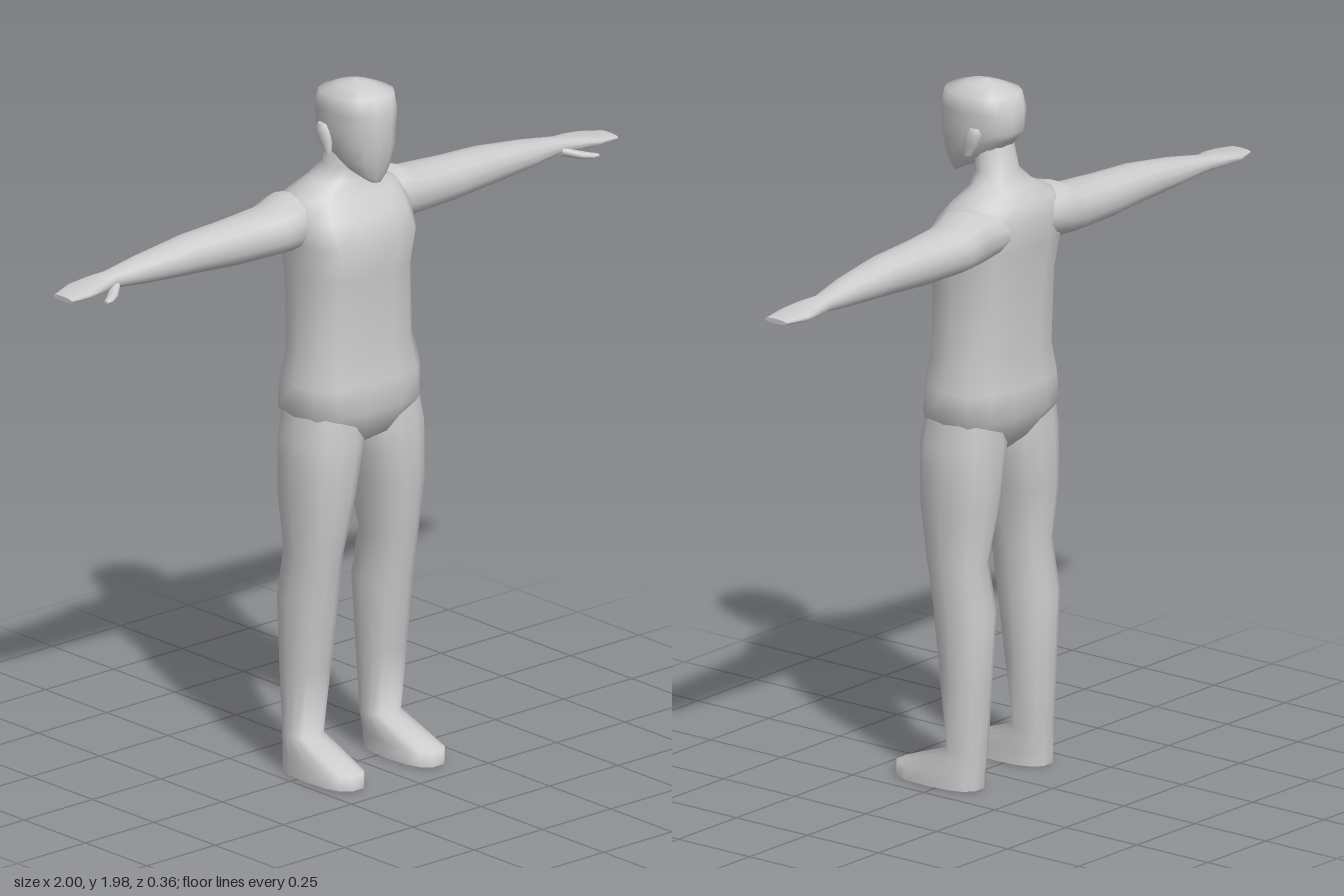
import * as THREE from 'three';

const SIDES = 14;
const skin = new THREE.MeshStandardMaterial({ color: 0xcccccc });
skin.name = 'plain grey';

// Unit superellipse point: n = 2 is round, larger n is boxier
function roundish(j, n) {
  const a = (j / SIDES) * Math.PI * 2;
  const bend = (v) => Math.sign(v) * Math.pow(Math.abs(v), 2 / n);
  return [bend(Math.cos(a)), bend(Math.sin(a))];
}

// Smooth skin through closed rings of points, with crisp flat end caps
function loft(name, rings) {
  const pos = [], index = [];
  rings.forEach((ring) => ring.forEach((p) => pos.push(...p)));
  for (let i = 0; i < rings.length - 1; i++) {
    for (let j = 0; j < SIDES; j++) {
      const k = (j + 1) % SIDES;
      const a = i * SIDES + j, b = i * SIDES + k, c = a + SIDES, d = b + SIDES;
      index.push(a, c, b, b, c, d);
    }
  }
  [rings[0], rings[rings.length - 1]].forEach((ring, end) => {
    const start = pos.length / 3;
    ring.forEach((p) => pos.push(...p));
    pos.push(...[0, 1, 2].map((c) => ring.reduce((sum, p) => sum + p[c], 0) / SIDES));
    for (let j = 0; j < SIDES; j++) {
      const a = start + j, b = start + ((j + 1) % SIDES), mid = start + SIDES;
      if (end) index.push(a, mid, b);
      else index.push(a, b, mid);
    }
  });
  const geometry = new THREE.BufferGeometry();
  geometry.setAttribute('position', new THREE.Float32BufferAttribute(pos, 3));
  geometry.setIndex(index);
  geometry.computeVertexNormals();
  const mesh = new THREE.Mesh(geometry, skin);
  mesh.name = name;
  return mesh;
}

// Level ring: front and back heights may differ, so the ring can tilt
function upright(yFront, yBack, cx, half, zFront, zBack, n) {
  return Array.from({ length: SIDES }, (_, j) => {
    const [u, v] = roundish(j, n);
    const t = (v + 1) / 2;
    return [cx + half * u, yBack + (yFront - yBack) * t, zBack + (zFront - zBack) * t];
  });
}

// Ring across an arm reaching out along x on the given side
function sideways(side, x, top, bottom, zFront, zBack, n) {
  return Array.from({ length: SIDES }, (_, j) => {
    const [u, v] = roundish(j, n);
    return [side * x, (top + bottom) / 2 + ((top - bottom) / 2) * u,
      (zFront + zBack) / 2 - side * ((zFront - zBack) / 2) * v];
  });
}

// y, half width, front z, back z, boxiness
const TORSO = [
  [0.93, 0.03, 0.02, -0.07, 2], [0.97, 0.15, 0.085, -0.115, 2.2],
  [1.05, 0.212, 0.122, -0.166, 2.6], [1.13, 0.208, 0.115, -0.16, 2.6],
  [1.22, 0.187, 0.1, -0.15, 2.6], [1.43, 0.18, 0.1, -0.16, 2.8],
  [1.53, 0.19, 0.116, -0.175, 2.9], [1.6, 0.195, 0.08, -0.18, 2.6],
  [1.65, 0.18, 0.04, -0.168, 2.3], [1.69, 0.1, 0.016, -0.135, 2],
  [1.73, 0.064, 0.015, -0.102, 2], [1.82, 0.06, 0.03, -0.08, 2],
];
// front y, back y, half width, front z, back z, boxiness
const HEAD = [
  [1.7, 1.735, 0.03, 0.095, 0.03, 2.2], [1.715, 1.755, 0.052, 0.102, -0.03, 2.2],
  [1.755, 1.785, 0.074, 0.115, -0.07, 2.2], [1.81, 1.82, 0.086, 0.125, -0.1, 2.2],
  [1.85, 1.845, 0.09, 0.125, -0.12, 2.2], [1.9, 1.9, 0.094, 0.126, -0.12, 2.3],
  [1.95, 1.945, 0.093, 0.11, -0.1, 2.4], [1.967, 1.965, 0.045, 0.055, -0.05, 2.2],
  [1.977, 1.977, 0.005, 0.005, -0.005, 2],
];
// y, inner x, outer x, front z, back z, boxiness
const LEG = [
  [0, 0.083, 0.212, 0.178, -0.105, 2.6], [0.04, 0.083, 0.212, 0.176, -0.106, 2.6],
  [0.105, 0.083, 0.2, -0.003, -0.108, 2.2], [0.3, 0.072, 0.206, 0.022, -0.12, 2.2],
  [0.5, 0.06, 0.212, 0.046, -0.13, 2.2], [0.64, 0.067, 0.208, 0.072, -0.106, 2.2],
  [0.8, 0.033, 0.219, 0.095, -0.13, 2.3], [0.9, 0.014, 0.219, 0.098, -0.131, 2.4],
  [0.97, 0.002, 0.217, 0.1, -0.132, 2.4], [1.07, 0.01, 0.2, 0.09, -0.13, 2.3],
];
// x, top y, bottom y, front z, back z, boxiness
const ARM = [
  [0.08, 1.65, 1.52, -0.02, -0.17, 2], [0.19, 1.662, 1.507, 0.01, -0.182, 2.2],
  [0.25, 1.637, 1.505, -0.003, -0.178, 2.2], [0.4, 1.628, 1.506, -0.02, -0.166, 2.2],
  [0.54, 1.622, 1.516, -0.03, -0.16, 2.2], [0.7, 1.602, 1.525, -0.05, -0.15, 2.2],
  [0.82, 1.581, 1.535, -0.074, -0.14, 2.2], [0.87, 1.577, 1.535, -0.06, -0.148, 2.4],
  [0.93, 1.567, 1.537, -0.048, -0.155, 2.4], [1, 1.556, 1.542, -0.055, -0.13, 2.4],
];
const THUMB = [
  [0.81, 1.56, 1.535, -0.07, -0.11, 2], [0.85, 1.549, 1.525, -0.034, -0.075, 2],
  [0.88, 1.541, 1.523, -0.02, -0.05, 2], [0.9, 1.536, 1.526, -0.02, -0.036, 2],
];
// y, half width, front z, back z
const EAR = [
  [1.78, 0.008, 0.0, -0.025, 2], [1.815, 0.014, 0.0, -0.048, 2],
  [1.845, 0.018, -0.008, -0.058, 2], [1.86, 0.01, -0.02, -0.05, 2],
];

export function createModel() {
  const model = new THREE.Group();
  model.name = 'standingFigure';
  const cx = -0.013; // the body stands slightly off the middle of the arm span

  model.add(loft('torsoAndNeck', TORSO.map(([y, ...r]) => upright(y, y, cx, ...r))));
  model.add(loft('head', HEAD.map(([yf, yb, ...r]) => upright(yf, yb, cx, ...r))));

  // Paired limbs and ears
  for (const side of [1, -1]) {
    const label = side > 0 ? 'left' : 'right';
    model.add(loft(label + 'LegAndFoot', LEG.map(([y, inner, outer, ...r]) =>
      upright(y, y, cx + (side * (inner + outer)) / 2, (outer - inner) / 2, ...r))));
    model.add(loft(label + 'ArmAndHand', ARM.map((r) => sideways(side, ...r))));
    model.add(loft(label + 'Thumb', THUMB.map((r) => sideways(side, ...r))));
    model.add(loft(label + 'Ear', EAR.map(([y, ...r]) => upright(y, y, cx + side * 0.088, ...r))));
  }
  return model;
}
